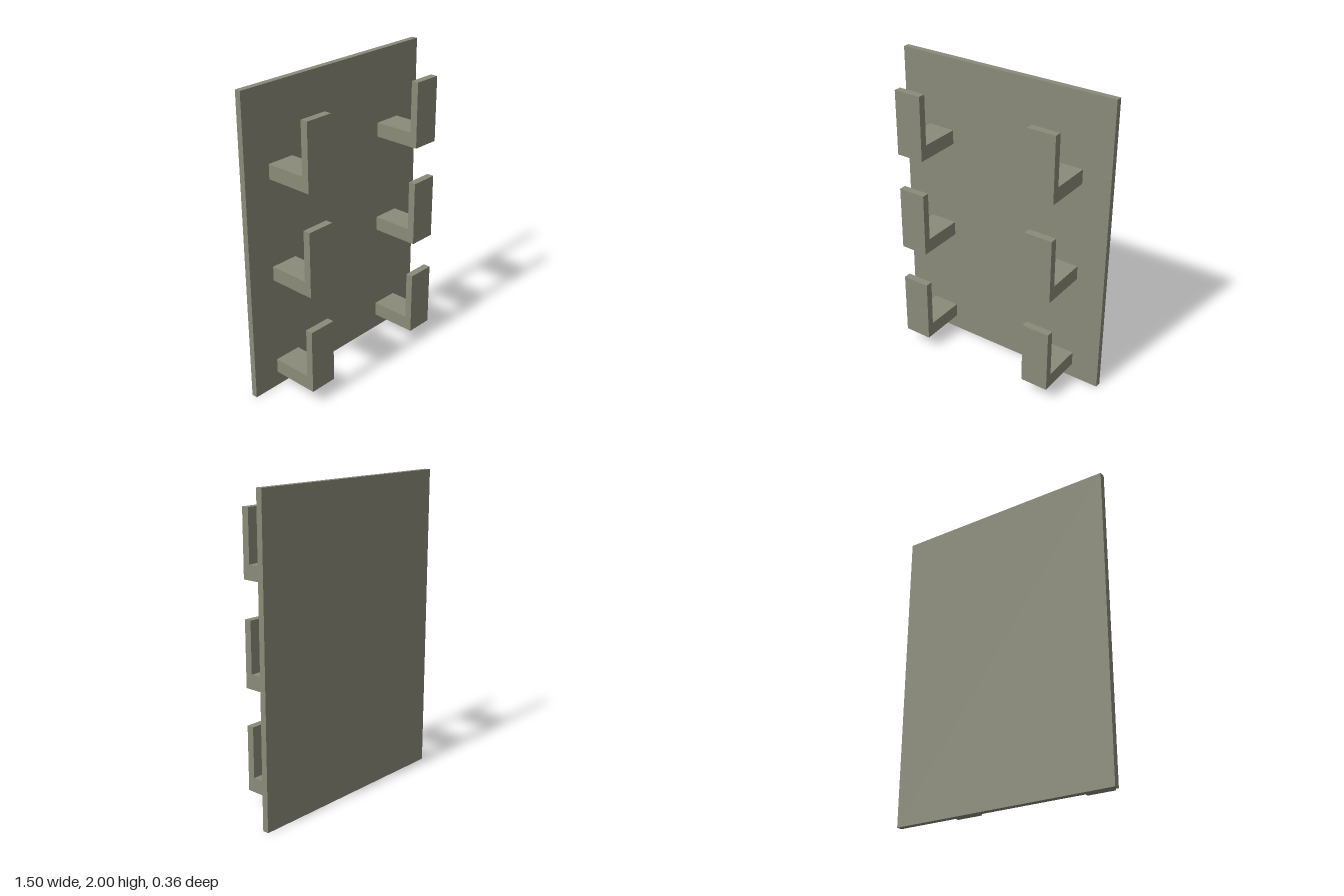
import * as THREE from 'three';

export function createModel() {
  const group = new THREE.Group();
  group.name = 'hookBoard';
  const olive = new THREE.MeshStandardMaterial({ color: 0x8b8b7a });
  olive.name = 'olive grey';

  // Upright back panel
  const panel = new THREE.Mesh(new THREE.BoxGeometry(1.5, 2, 0.04), olive);
  panel.name = 'backPanel';
  panel.position.set(0, 1, -0.159);
  group.add(panel);

  // L-shaped hook: side profile in (z, y), extruded across x
  const width = 0.186;
  const back = -0.139, lip = 0.131, front = 0.179;
  const profile = new THREE.Shape([
    [back, 0], [front, 0], [front, 0.425], [lip, 0.425], [lip, 0.094], [back, 0.094],
  ].map(([z, y]) => new THREE.Vector2(z, y)));
  const hookGeometry = new THREE.ExtrudeGeometry(profile, { depth: width, bevelEnabled: false });
  hookGeometry.translate(0, 0, -width / 2);
  hookGeometry.rotateY(-Math.PI / 2);

  // Two columns of three hooks
  for (const [side, x] of [['right', -0.473], ['left', 0.468]]) {
    ['Lower', 'Middle', 'Upper'].forEach((level, i) => {
      const hook = new THREE.Mesh(hookGeometry, olive);
      hook.name = `${side}${level}Hook`;
      hook.position.set(x, 0.1 + i * 0.665, 0);
      group.add(hook);
    });
  }
  return group;
}
